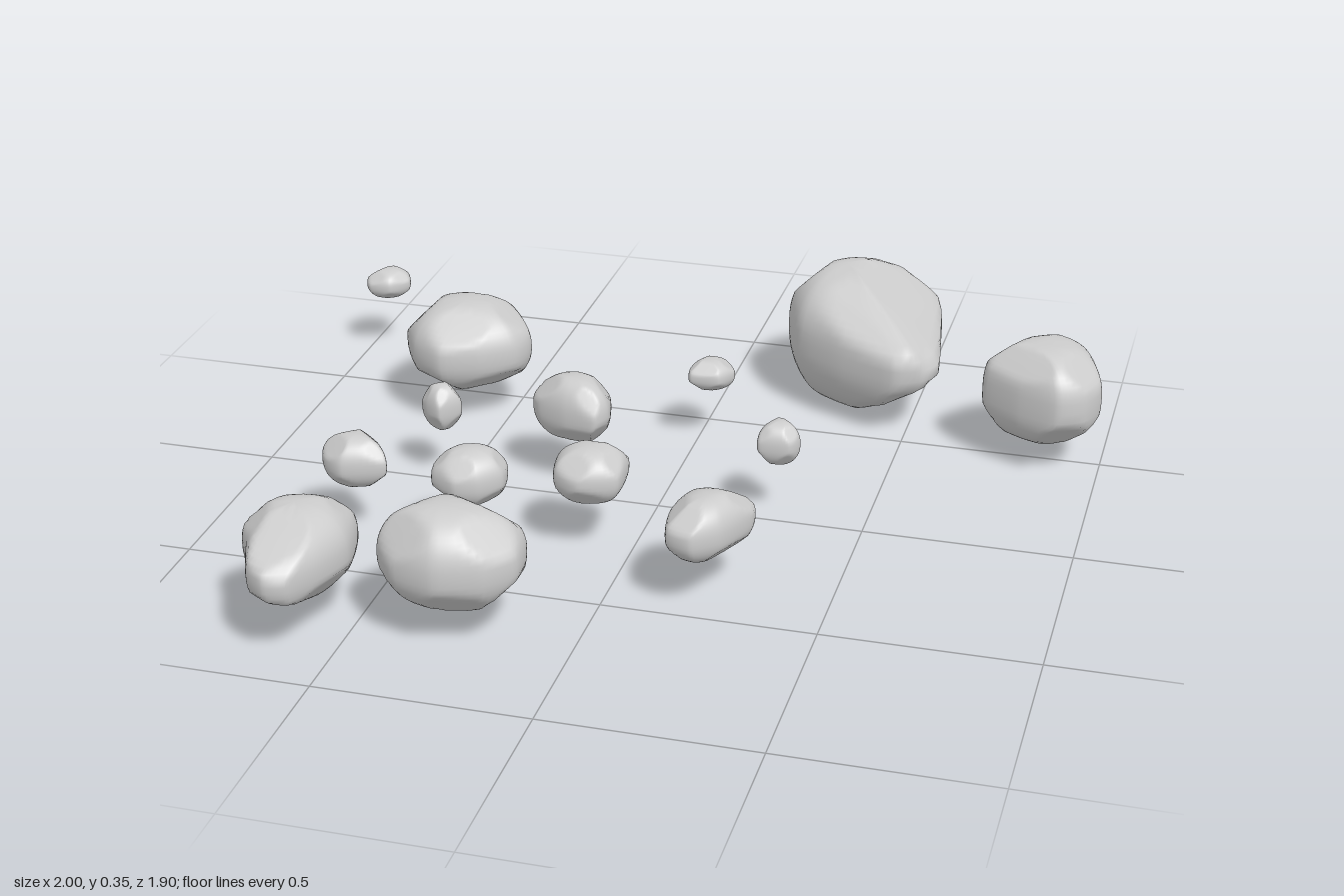
import * as THREE from 'three';

const AROUND = 56, RINGS = 28;

const stone = new THREE.MeshStandardMaterial({ color: 0xcccccc });
stone.name = 'stoneGrey';

// Small seeded generator, values 0..1
function seeded(seed) {
  let s = seed * 7919 + 17;
  return () => (s = (s * 16807) % 2147483647) / 2147483647;
}

// Pulls everything beyond the plane (normal, reach from mid) back toward mid
function cut(points, mid, normal, limit) {
  for (const p of points) {
    const along = p.clone().sub(mid).dot(normal);
    if (along > limit) p.sub(mid).multiplyScalar(1 - 0.93 * (1 - limit / along)).add(mid);
  }
}

// Flattens the body along a few slanted planes so it looks worn, not round
function chisel(points, mid, seed, depth) {
  const rnd = seeded(seed);
  rnd(); rnd();
  const size = new THREE.Box3().setFromPoints(points).getSize(new THREE.Vector3());
  const start = rnd() * 6.28;
  for (let i = 0; i < 8; i++) {
    const a = start + i * 2.36 + rnd() * 0.6;
    const up = (i % 2 ? -1 : 1) * (0.62 + rnd() * 0.43);
    const n = new THREE.Vector3(Math.cos(a) / size.x, up / size.y, Math.sin(a) / size.z).normalize();
    let reach = 0;
    for (const p of points) reach = Math.max(reach, p.clone().sub(mid).dot(n));
    cut(points, mid, n, reach * (1 - depth * (0.5 + rnd() * 0.5)));
  }
}

// Rock lofted from its plan outline (x, z pairs, clockwise from above).
// low, high: height range; top, bottom: crown and base points; round: 1 = oval, less = boxier
// slopes: extra flat sides as [nx, ny, nz, distance from the origin]
function rock(name, outline, low, high, { top, bottom, round = 0.88, belt = 0.5, seed = 1, depth = 0.14, slopes = [] } = {}) {
  const corners = [];
  for (let i = 0; i < outline.length; i += 2) corners.push(new THREE.Vector3(outline[i], 0, outline[i + 1]));
  const curve = new THREE.CatmullRomCurve3(corners, true, 'catmullrom', 0.32);
  const edge = Array.from({ length: AROUND }, (_, j) => curve.getPoint(j / AROUND));
  const mid = new THREE.Box3().setFromPoints(corners).getCenter(new THREE.Vector3());
  const crown = top ? new THREE.Vector3(top[0], 0, top[1]) : mid.clone();
  const base = bottom ? new THREE.Vector3(bottom[0], 0, bottom[1]) : mid.clone();
  const beltY = low + (high - low) * belt;
  mid.y = beltY;

  // Rings from the base pole to the crown pole
  const points = [base.clone().setY(low)];
  for (let i = 1; i < RINGS; i++) {
    const phi = -Math.PI / 2 + (Math.PI * i) / RINGS;
    const sin = Math.sin(phi);
    const spread = Math.pow(Math.cos(phi), round);
    const rise = Math.pow(Math.abs(sin), round);
    const y = sin < 0 ? beltY - (beltY - low) * rise : beltY + (high - beltY) * rise;
    for (const e of edge) points.push((sin < 0 ? base : crown).clone().lerp(e, spread).setY(y));
  }
  points.push(crown.clone().setY(high));
  for (const [x, y, z, distance] of slopes) {
    const n = new THREE.Vector3(x, y, z);
    cut(points, mid, n, distance - n.dot(mid));
  }
  chisel(points, mid, seed, depth);

  const index = [];
  const last = points.length - 1;
  const at = (i, j) => 1 + i * AROUND + (j % AROUND);
  for (let j = 0; j < AROUND; j++) {
    index.push(0, at(0, j), at(0, j + 1));
    for (let i = 0; i < RINGS - 2; i++) {
      index.push(at(i, j + 1), at(i, j), at(i + 1, j), at(i, j + 1), at(i + 1, j), at(i + 1, j + 1));
    }
    index.push(last, at(RINGS - 2, j + 1), at(RINGS - 2, j));
  }
  const geometry = new THREE.BufferGeometry().setFromPoints(points);
  geometry.setIndex(index);
  geometry.computeVertexNormals();
  const mesh = new THREE.Mesh(geometry, stone);
  mesh.name = name;
  return mesh;
}

export function createModel() {
  const group = new THREE.Group();
  group.name = 'scatteredRocks';

  // Boulders
  group.add(
    rock('largestBoulder',
      [.15, -.75, .19, -.85, .30, -.94, .48, -.95, .53, -.87, .56, -.69, .575, -.57, .54, -.515, .47, -.49, .32, -.55, .20, -.63],
      0, .35, {
        top: [.29, -.79], bottom: [.31, -.74], belt: .55, round: .86, seed: 3, depth: .08,
        slopes: [[.53, .85, 0, .476], [.55, -.83, 0, .184], [0, .86, .5, -.053], [0, -.81, .59, -.383]],
      }),
    rock('backLeftBoulder',
      [.70, -.505, .725, -.565, .885, -.66, .955, -.61, .995, -.48, .965, -.40, .90, -.365, .80, -.40, .71, -.46],
      .06, .31, { top: [.82, -.50], bottom: [.82, -.52], round: .75, seed: 5 }),
    rock('backRightBoulder',
      [-.78, -.41, -.74, -.505, -.64, -.56, -.525, -.54, -.45, -.425, -.47, -.35, -.55, -.29, -.645, -.26, -.73, -.31],
      .07, .30, { top: [-.62, -.42], seed: 8 }),
    rock('frontRightBoulder',
      [-.745, .75, -.71, .67, -.62, .63, -.52, .635, -.495, .75, -.525, .85, -.57, .93, -.62, .945, -.67, .91, -.71, .82],
      .085, .30, {
        top: [-.62, .74], bottom: [-.61, .77], seed: 11, depth: .11,
        slopes: [[0, .91, .42, .596], [0, -.946, .324, .164]],
      }),
    rock('frontBoulder',
      [-.44, .70, -.41, .61, -.33, .56, -.22, .56, -.13, .62, -.12, .72, -.18, .79, -.28, .825, -.38, .80, -.435, .74],
      .07, .315, { top: [-.30, .70], bottom: [-.26, .68], seed: 14 }),
  );

  // Medium stones
  group.add(
    rock('frontLeftStone',
      [.135, .41, .16, .33, .25, .29, .31, .31, .315, .36, .27, .46, .21, .51, .15, .49],
      .11, .26, { seed: 17 }),
    rock('centreStone',
      [-.335, -.08, -.29, -.145, -.23, -.16, -.155, -.125, -.135, -.045, -.16, 0, -.24, -.01, -.31, -.04],
      .115, .285, { top: [-.23, -.07], seed: 20 }),
    rock('innerLeftStone',
      [-.185, .22, -.155, .16, -.09, .163, -.025, .165, -.02, .28, -.105, .32, -.17, .29],
      .125, .26, { top: [-.10, .23], seed: 23 }),
    rock('innerMiddleStone',
      [-.45, .325, -.42, .265, -.355, .235, -.29, .265, -.28, .33, -.325, .38, -.38, .395, -.44, .365],
      .12, .26, { seed: 26 }),
    rock('innerRightStone',
      [-.73, .30, -.65, .235, -.60, .275, -.565, .335, -.66, .375, -.71, .35],
      .125, .255, { seed: 29 }),
  );

  // Pebbles
  group.add(
    rock('backRightPebble',
      [-1, -.70, -.97, -.75, -.935, -.77, -.90, -.755, -.885, -.71, -.925, -.665, -.98, -.665],
      .15, .23, { seed: 32 }),
    rock('backPebble',
      [-.02, -.38, .02, -.45, .065, -.44, .09, -.40, .06, -.35, -.01, -.345],
      .14, .22, { top: [.02, -.39], seed: 35 }),
    rock('rightPebble',
      [-.60, -.02, -.545, -.065, -.515, -.045, -.50, -.015, -.54, .03, -.58, .01],
      .13, .25, { seed: 38 }),
    rock('leftPebble',
      [.24, -.02, .26, -.08, .295, -.08, .34, -.03, .32, .01, .25, .015],
      .14, .25, { seed: 41 }),
  );
  return group;
}
